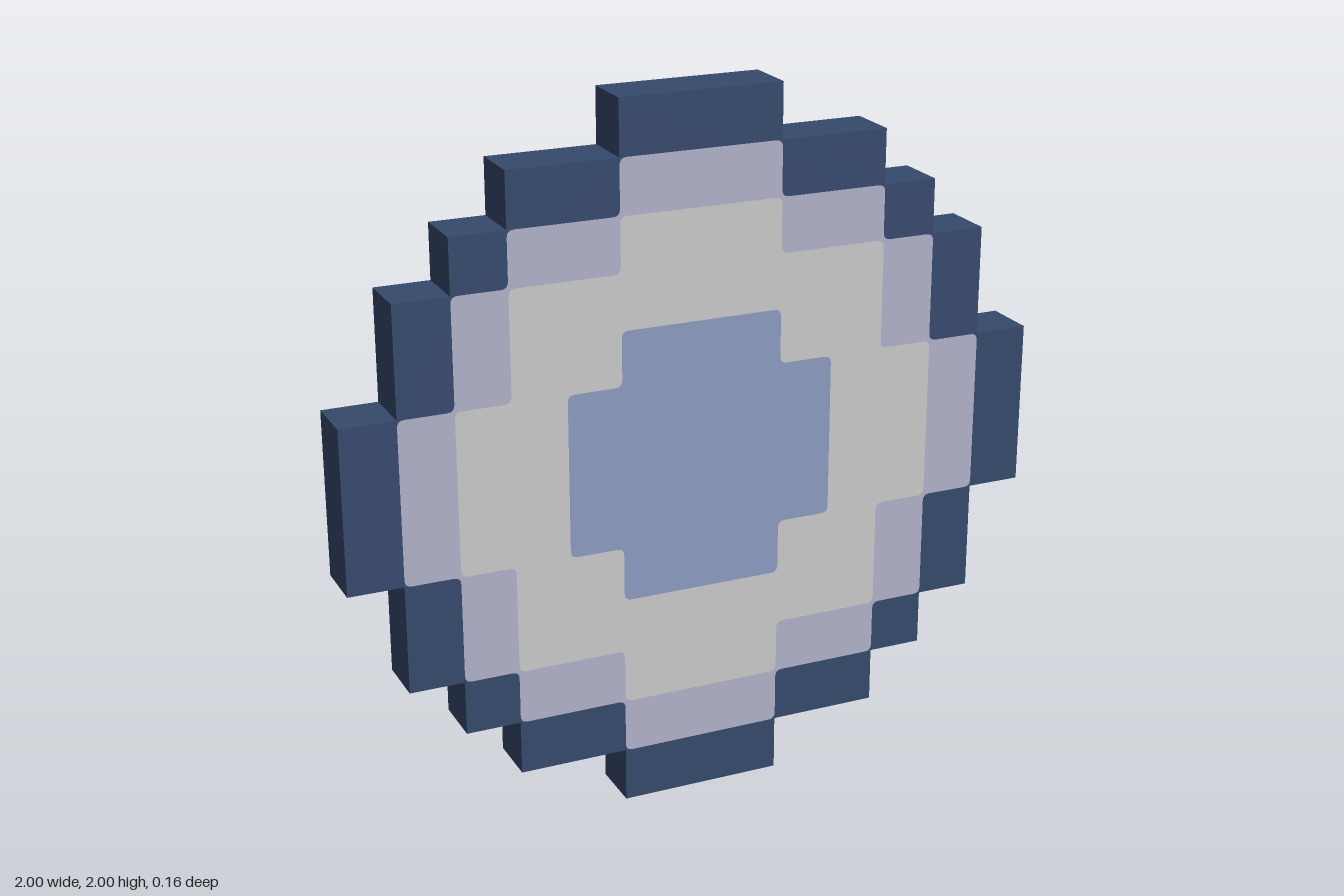
import * as THREE from 'three';

const CELL = 2 / 13;       // side of one square of the 13 x 13 disc
const DEPTH = CELL;        // the disc is one cell thick
const LIFT = 0.0015;       // gap between stacked face plates

const material = (name, color, side = THREE.FrontSide) =>
  Object.assign(new THREE.MeshStandardMaterial({ color, side }), { name });

// Closed stepped outline from [half width, half height] pairs in cells, widest first
function steppedShape(steps, radius = 0) {
  const quarter = [];
  steps.forEach(([w, h], i) => {
    if (i > 0) quarter.push([w, steps[i - 1][1]]);
    quarter.push([w, h]);
  });
  const flip = (sx, sy) => quarter.map(([x, y]) => [x * sx, y * sy]);
  const points = [
    ...quarter, ...flip(-1, 1).reverse(), ...flip(-1, -1), ...flip(1, -1).reverse(),
  ].map(([x, y]) => new THREE.Vector2(x * CELL, y * CELL));
  if (!radius) return new THREE.Shape(points);

  // Slightly soften every corner
  const shape = new THREE.Shape();
  const toward = (a, b) => a.clone().add(b.clone().sub(a).setLength(radius));
  points.forEach((p, i) => {
    const before = toward(p, points.at(i - 1));
    const after = toward(p, points[(i + 1) % points.length]);
    if (i === 0) shape.moveTo(before.x, before.y);
    else shape.lineTo(before.x, before.y);
    shape.quadraticCurveTo(p.x, p.y, after.x, after.y);
  });
  shape.closePath();
  return shape;
}

export function createModel() {
  const model = new THREE.Group();
  model.name = 'steppedDisc';

  // Dark solid body, whose rim shows all round
  const bodyGeometry = new THREE.ExtrudeGeometry(
    steppedShape([[6.5, 1.5], [5.5, 3.5], [4.5, 4.5], [3.5, 5.5], [1.5, 6.5]]),
    { depth: DEPTH, bevelEnabled: false },
  );
  bodyGeometry.translate(0, 1, -DEPTH / 2);
  const body = new THREE.Mesh(bodyGeometry, material('navy', 0x364a6d));
  body.name = 'rimBody';
  model.add(body);

  // Coloured bands, repeated on the front and the back
  const bands = [
    ['outerBand', material('lavender', 0xb2b2cb), [[5.5, 1.5], [4.5, 3.5], [3.5, 4.5], [1.5, 5.5]]],
    ['middleBand', material('paleGrey', 0xc9c9c9), [[4.5, 1.5], [3.5, 3.5], [1.5, 4.5]]],
    ['centre', material('softBlue', 0x8b9bc0), [[2.5, 1.5], [1.5, 2.5]]],
  ];
  bands.forEach(([name, mat, steps], i) => {
    const geometry = new THREE.ShapeGeometry(steppedShape(steps, 0.02), 4);
    geometry.translate(0, 0, DEPTH / 2 + LIFT * (i + 1));
    for (const [sideName, turn] of [['Front', 0], ['Back', Math.PI]]) {
      const plate = new THREE.Mesh(geometry, mat);
      plate.name = name + sideName;
      plate.position.y = 1;
      plate.rotation.y = turn;
      model.add(plate);
    }
  });

  return model;
}
